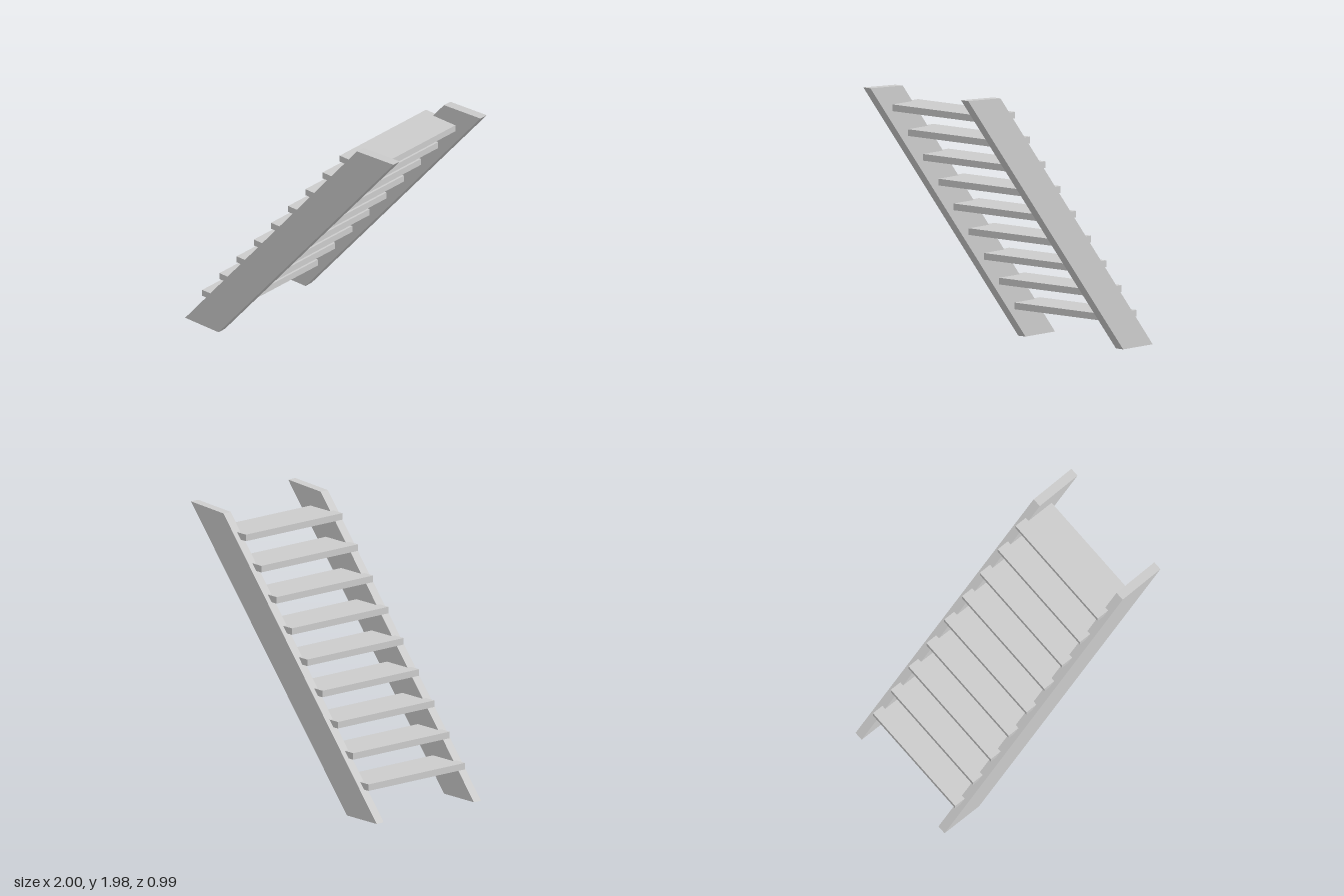
import * as THREE from 'three';

const material = new THREE.MeshStandardMaterial({ color: 0xcccccc, flatShading: true });

export function createModel() {
  const stairs = new THREE.Group();
  stairs.name = 'staircase';

  // Slanted side boards, one on each side of the flight
  const profile = new THREE.Shape([
    new THREE.Vector2(-1, 0),
    new THREE.Vector2(-0.68, 0),
    new THREE.Vector2(1, 1.98),
    new THREE.Vector2(0.65, 1.96),
  ]);
  const thickness = 0.068;
  const boardGeometry = new THREE.ExtrudeGeometry(profile, { depth: thickness, bevelEnabled: false });
  for (const [name, z] of [['frontStringer', 0.495 - thickness], ['backStringer', -0.495]]) {
    const board = new THREE.Mesh(boardGeometry, material);
    board.name = name;
    board.position.z = z;
    stairs.add(board);
  }

  // Nine treads, housed in the side boards and overhanging their upper edge
  const count = 9, depth = 0.31, height = 0.048;
  const treadGeometry = new THREE.BoxGeometry(depth, height, 0.915);
  for (let i = 0; i < count; i++) {
    const tread = new THREE.Mesh(treadGeometry, material);
    tread.name = `tread${i + 1}`;
    tread.position.set(-0.87 + depth / 2 + i * 0.165, 0.235 + i * 0.1972, 0);
    stairs.add(tread);
  }
  return stairs;
}
